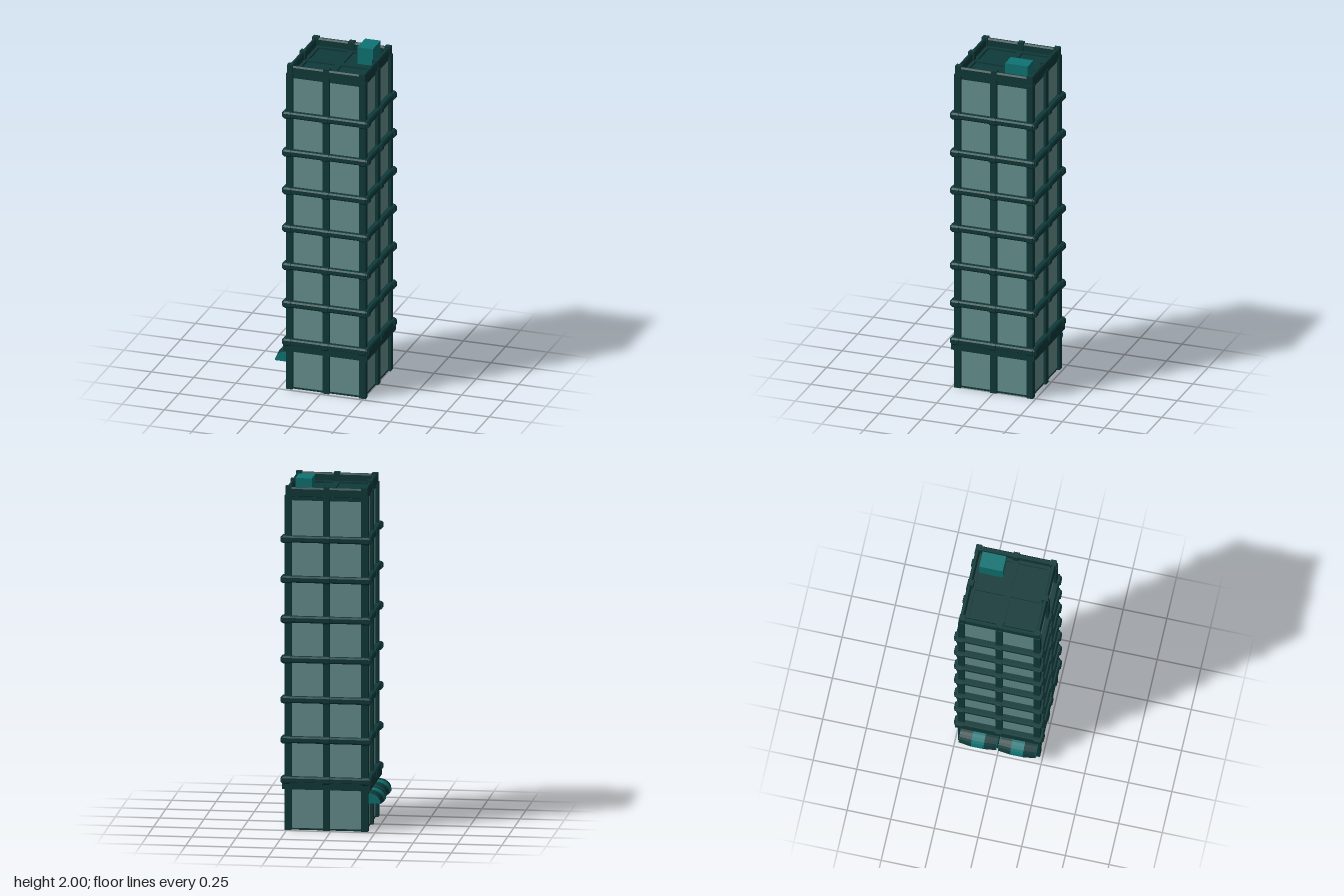
import * as THREE from 'three';

const mat = (color) => new THREE.MeshStandardMaterial({ color, flatShading: true });
const dark = mat(0x103a3a), teal = mat(0x0f7474), glassMat = mat(0x66918f);

function add(parent, name, geometry, material, x = 0, y = 0, z = 0) {
  const mesh = new THREE.Mesh(geometry, material);
  mesh.name = name;
  mesh.position.set(x, y, z);
  parent.add(mesh);
  return mesh;
}

const box = (parent, name, material, w, h, d, x, y, z) =>
  add(parent, name, new THREE.BoxGeometry(w, h, d), material, x, y, z);

// Square ring: profile points are [half width, height], lofted around four sides
function squareRing(profile) {
  const points = profile.map(([r, y]) => new THREE.Vector2(r * Math.SQRT2, y));
  return new THREE.LatheGeometry(points, 4, Math.PI / 4);
}

// Chamfered clamp: profile faces +x, extruded along z
function clampGeometry(inner, outer, h, width) {
  const c = 0.009;
  const s = new THREE.Shape([
    [inner, -h], [outer - c, -h], [outer, -h + c],
    [outer, h - c], [outer - c, h], [inner, h],
  ].map(([x, y]) => new THREE.Vector2(x, y)));
  return new THREE.ExtrudeGeometry(s, { depth: width, bevelEnabled: false })
    .translate(0, 0, -width / 2);
}

// Quarter-round awning strip from z0 to z1, scaled towards the wall at each end
function awningStrip(z0, z1, scale0, scale1) {
  const s = new THREE.Shape();
  s.moveTo(0, 0);
  s.lineTo(0, 0.065);
  for (let i = 1; i <= 6; i++) {
    const a = (i / 6) * Math.PI / 2;
    s.lineTo(-0.077 * Math.sin(a), 0.065 * Math.cos(a));
  }
  const g = new THREE.ExtrudeGeometry(s, { depth: z1 - z0, bevelEnabled: false });
  const p = g.attributes.position;
  for (let i = 0; i < p.count; i++) {
    const k = p.getZ(i) > (z1 - z0) / 2 ? scale1 : scale0;
    p.setXY(i, p.getX(i) * k, p.getY(i) * k);
  }
  g.translate(0, 0, z0);
  g.computeVertexNormals();
  return g;
}

export function createModel() {
  const model = new THREE.Group();
  model.name = 'tower';
  const body = new THREE.Group();
  body.name = 'towerBody';
  body.position.x = 0.027;
  model.add(body);

  // Glass core and base
  box(body, 'glassWalls', glassMat, 0.436, 1.88, 0.436, 0, 0.95, 0);
  box(body, 'basePlate', dark, 0.44, 0.01, 0.44, 0, 0.005, 0);

  // Vertical columns: corners and the middle of each side
  for (const i of [-1, 0, 1]) for (const j of [-1, 0, 1]) {
    if (i === 0 && j === 0) continue;
    box(body, 'column', dark, 0.038, 1.91, 0.038, i * 0.216, 0.955, j * 0.216);
  }

  // Floor bands with a clamp where each column crosses
  const band = squareRing([
    [0.21, -0.018], [0.242, -0.018], [0.25, -0.01],
    [0.25, 0.01], [0.242, 0.018], [0.21, 0.018], [0.21, -0.018],
  ]);
  const clamp = clampGeometry(0.2, 0.257, 0.021, 0.038);
  for (let n = 0; n < 7; n++) {
    const y = 0.287 + n * 0.229;
    add(body, 'floorBand', band, dark, 0, y, 0);
    for (let side = 0; side < 4; side++) {
      const pivot = new THREE.Group();
      pivot.name = 'bandClamps';
      pivot.position.y = y;
      pivot.rotation.y = side * Math.PI / 2;
      for (const j of [-1, 0, 1]) add(pivot, 'clamp', clamp, dark, 0, 0, j * 0.222);
      body.add(pivot);
    }
  }

  // Deeper lower band above the ground floor
  add(body, 'groundFloorBand', squareRing([
    [0.21, 0.235], [0.248, 0.235], [0.248, 0.275], [0.21, 0.275], [0.21, 0.235],
  ]), dark);

  // Roof deck with border, cross beams and parapet
  box(body, 'roofDeck', dark, 0.44, 0.02, 0.44, 0, 1.89, 0);
  add(body, 'roofBorder', squareRing([
    [0.185, 1.9], [0.21, 1.9], [0.21, 1.91], [0.185, 1.91], [0.185, 1.9],
  ]), dark);
  box(body, 'roofBeam', dark, 0.036, 0.01, 0.42, 0, 1.904, 0);
  box(body, 'roofBeam', dark, 0.42, 0.01, 0.036, 0, 1.904, 0);
  add(body, 'parapet', squareRing([
    [0.205, 1.895], [0.229, 1.905], [0.229, 1.946], [0.222, 1.955],
    [0.213, 1.955], [0.205, 1.946], [0.205, 1.895],
  ]), dark);
  for (const i of [-1, 0, 1]) for (const j of [-1, 0, 1]) {
    if (i === 0 && j === 0) continue;
    box(body, 'parapetPost', dark, 0.034, 0.055, 0.034, i * 0.214, 1.934, j * 0.214);
  }

  // Rooftop unit
  box(model, 'rooftopUnit', teal, 0.092, 0.1, 0.135, 0.161, 1.95, -0.117);

  // Two striped awnings on the side wall
  for (const z of [-0.108, 0.117]) {
    const awning = new THREE.Group();
    awning.name = 'awning';
    awning.position.set(-0.21, 0.16, z);
    model.add(awning);
    add(awning, 'awningMiddleStripe', awningStrip(-0.036, 0.036, 1, 1), teal);
    add(awning, 'awningStripe', awningStrip(-0.106, -0.036, 0.88, 1), dark);
    add(awning, 'awningStripe', awningStrip(0.036, 0.106, 1, 0.88), dark);
    add(awning, 'awningEnd', awningStrip(-0.108, -0.106, 0.87, 0.88), teal);
    add(awning, 'awningEnd', awningStrip(0.106, 0.108, 0.88, 0.87), teal);
  }
  return model;
}
